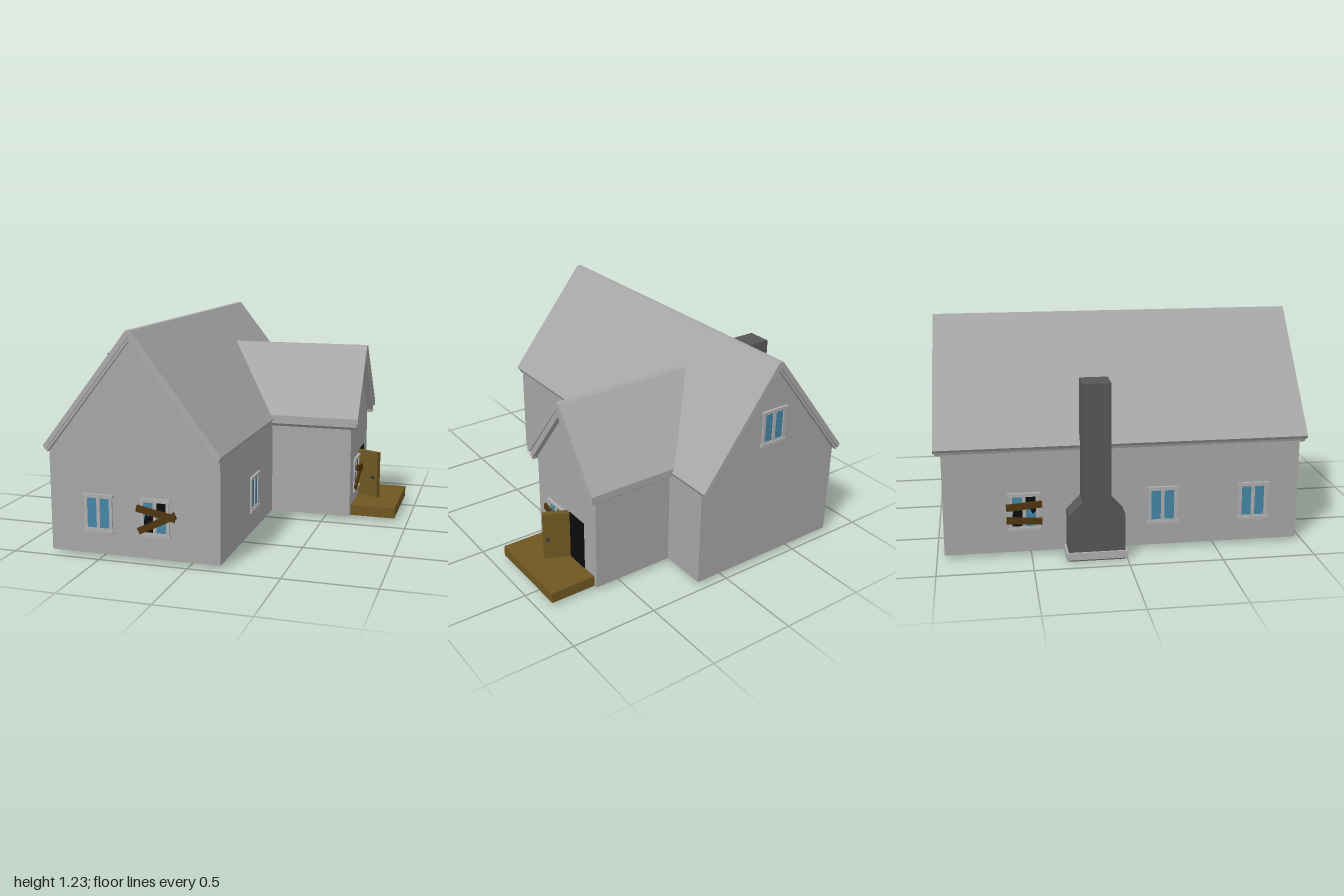
import * as THREE from 'three';

const mat = (name, color, side = THREE.FrontSide) => {
  const m = new THREE.MeshStandardMaterial({ color, side });
  m.name = name;
  return m;
};

export function createModel() {
  const wall = mat('wall grey', 0xa6a6a6);
  const roof = mat('roof grey', 0xa8a8a8);
  const trim = mat('trim grey', 0xaeaeae);
  const stone = mat('chimney stone', 0x575757);
  const wood = mat('porch wood', 0x705722);
  const plank = mat('dark plank', 0x4f360f);
  const glass = mat('window glass', 0x4485a6);
  const dark = mat('dark opening', 0x0c0c0c);
  const metal = mat('knob metal', 0x3a3a3a);

  const house = new THREE.Group();
  house.name = 'house';

  const add = (parent, name, geo, material, x = 0, y = 0, z = 0) => {
    const m = new THREE.Mesh(geo, material);
    m.name = name;
    m.position.set(x, y, z);
    parent.add(m);
    return m;
  };
  // box given by its minimum and maximum on each axis
  const block = (parent, name, material, x0, x1, y0, y1, z0, z1) =>
    add(parent, name, new THREE.BoxGeometry(x1 - x0, y1 - y0, z1 - z0), material,
      (x0 + x1) / 2, (y0 + y1) / 2, (z0 + z1) / 2);
  const shapeOf = pts => new THREE.Shape(pts.map(p => new THREE.Vector2(...p)));
  const extrude = (pts, z0, z1) =>
    new THREE.ExtrudeGeometry(shapeOf(pts), { depth: z1 - z0, bevelEnabled: false }).translate(0, 0, z0);
  // symmetric profile from its right half, outer points upwards then inner points downwards
  const chevron = (outer, inner) => {
    const flip = a => a.map(([x, y]) => [-x, y]).reverse();
    return [...outer, ...flip(outer), ...flip(inner).filter(p => p[0] !== 0), ...inner];
  };
  const gable = (w, y0, eave, apex) => [[-w, y0], [w, y0], [w, eave], [0, apex], [-w, eave]];
  // pulls the gable ends in a little towards the ridge
  const taper = (geo, y0, y1, amount, both) => {
    const p = geo.attributes.position;
    for (let i = 0; i < p.count; i++) {
      const z = p.getZ(i);
      if (both || z > 0.5) p.setZ(i, z - Math.sign(z) * amount * (p.getY(i) - y0) / (y1 - y0));
    }
    geo.computeVertexNormals();
    return geo;
  };

  // main house
  const main = new THREE.Group();
  main.name = 'mainHouse';
  main.position.x = -0.31;
  house.add(main);
  add(main, 'mainWalls', extrude(gable(0.48, 0.02, 0.575, 1.18), -0.96, 0.96), wall);
  const mainTiles = chevron([[0.497, 0.605], [0.013, 1.23]], [[0, 1.2], [0.482, 0.585]]);
  add(main, 'mainRoof', taper(extrude(mainTiles, -1, 1), 0.6, 1.23, 0.014, true), roof);
  const mainEaves = chevron([[0.489, 0.6], [0, 1.215]], [[0, 1.178], [0.478, 0.57]]);
  add(main, 'mainRoofEdge', taper(extrude(mainEaves, -0.99, 0.99), 0.6, 1.23, 0.014, true), roof);

  // side wing, extruded along +x
  const wing = new THREE.Group();
  wing.name = 'wing';
  wing.position.z = -0.385;
  wing.rotation.y = Math.PI / 2;
  house.add(wing);
  add(wing, 'wingWalls', extrude(gable(0.298, 0.02, 0.58, 0.96), 0.16, 0.655), wall);
  const wingTiles = chevron([[0.337, 0.6], [0.337, 0.628], [0.018, 1.03]], [[0, 1.0], [0.32, 0.6]]);
  add(wing, 'wingRoof', taper(extrude(wingTiles, -0.146, 0.7), 0.6, 1.03, 0.006, false), roof);
  const wingEaves = chevron([[0.3, 0.557], [0.322, 0.575], [0.322, 0.62], [0, 1.015]], [[0, 0.95], [0.296, 0.575]]);
  add(wing, 'wingRoofEdge', extrude(wingEaves, -0.1, 0.69), roof);

  // chimney: foot, wide hearth, sloped shoulders and stack
  const chimney = new THREE.Group();
  chimney.name = 'chimney';
  chimney.position.set(0, 0, -0.162);
  chimney.rotation.y = -Math.PI / 2;
  house.add(chimney);
  const stack = [[-0.15, 0], [0.15, 0], [0.15, 0.25], [0.075, 0.33], [0.075, 0.96],
    [-0.075, 0.96], [-0.075, 0.33], [-0.15, 0.25]];
  add(chimney, 'chimneyStack', extrude(stack, 0.768, 0.915), stone);
  block(chimney, 'chimneyFoot', trim, -0.162, 0.162, 0.01, 0.05, 0.78, 0.925);

  // windows: local +z points out of the wall
  const rect = (x, w, h) => [[x - w / 2, -h / 2], [x + w / 2, -h / 2], [x + w / 2, h / 2], [x - w / 2, h / 2]];
  const frameShape = shapeOf(rect(0, 0.16, 0.19));
  for (const x of [-0.036, 0.036])
    frameShape.holes.push(new THREE.Path(rect(x, 0.053, 0.165).map(p => new THREE.Vector2(...p))));
  const frameGeo = new THREE.ExtrudeGeometry(frameShape, { depth: 0.008, bevelEnabled: false });
  const shards = [
    [[-0.063, 0.083], [-0.063, -0.02], [-0.05, 0.02], [-0.035, 0.005], [-0.022, 0.035], [-0.009, 0.03], [-0.009, 0.083]],
    [[0.009, -0.083], [0.063, -0.083], [0.063, 0.0], [0.045, -0.015], [0.03, 0.02], [0.018, 0.01], [0.009, 0.05]],
  ];
  // boards: list of [x, y, length, tilt]
  const addWindow = (name, x, y, z, turn, boards) => {
    const g = new THREE.Group();
    g.name = name;
    g.position.set(x, y, z);
    g.rotation.y = turn;
    house.add(g);
    add(g, 'windowFrame', frameGeo, trim);
    for (const s of [-1, 1]) {
      block(g, s > 0 ? 'windowHead' : 'windowSill', trim, -0.087, 0.087, s * 0.097 - 0.008, s * 0.097 + 0.008, 0, 0.014);
      add(g, 'windowPane', new THREE.PlaneGeometry(0.053, 0.165), boards ? dark : glass, s * 0.036, 0, 0.002);
    }
    if (!boards) return;
    for (const pts of shards)
      add(g, 'brokenGlass', new THREE.ShapeGeometry(shapeOf(pts)), glass, 0, 0, 0.004);
    boards.forEach(([bx, by, len, tilt], i) => {
      const b = add(g, 'windowBoard', new THREE.BoxGeometry(len, 0.036, 0.013), plank, bx, by, 0.015 + i * 0.009);
      b.rotation.z = tilt;
    });
  };
  const crossed = [[0.015, -0.025, 0.23, 0.46], [0.013, 0.031, 0.22, -0.2]];
  const level = [[0, 0.035, 0.19, 0.08], [0, -0.045, 0.19, -0.06]];
  addWindow('frontWindow', -0.512, 0.247, 0.96, 0);
  addWindow('frontBoardedWindow', -0.19, 0.247, 0.96, 0, crossed);
  addWindow('sideWindow', 0.17, 0.247, 0.328, Math.PI / 2);
  addWindow('wingBoardedWindow', 0.655, 0.247, -0.282, Math.PI / 2, crossed);
  addWindow('atticWindow', -0.31, 0.85, -0.96, Math.PI);
  addWindow('chimneySideBoardedWindow', -0.79, 0.247, -0.536, -Math.PI / 2, level);
  for (const z of [0.21, 0.71]) addWindow('chimneySideWindow', -0.79, 0.247, z, -Math.PI / 2);

  // porch, doorway and open door
  block(house, 'porch', wood, 0.63, 0.922, 0.018, 0.08, -0.66, -0.125);
  block(house, 'doorway', dark, 0.65, 0.659, 0.08, 0.37, -0.565, -0.42);
  const door = new THREE.Group();
  door.name = 'door';
  door.position.set(0.66, 0.08, -0.425);
  door.rotation.y = -0.45;
  house.add(door);
  block(door, 'doorPanel', wood, 0, 0.15, 0, 0.287, 0, 0.033);
  for (const z of [-0.01, 0.043])
    add(door, 'doorKnob', new THREE.SphereGeometry(0.012, 12, 8), metal, 0.125, 0.13, z);

  return house;
}
